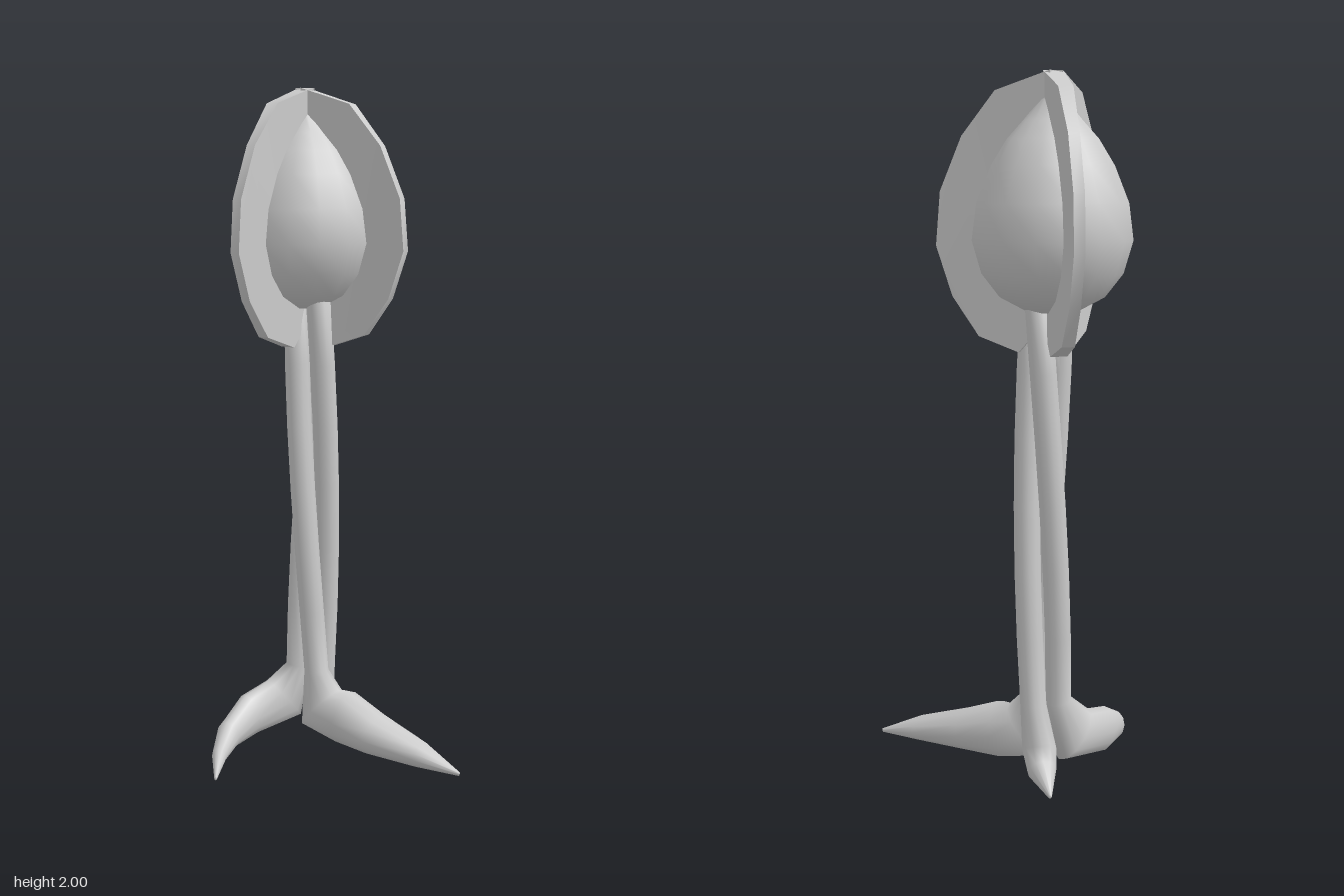
import * as THREE from 'three';
import { toCreasedNormals } from 'three/addons/utils/BufferGeometryUtils.js';

const V = (x, y, z) => new THREE.Vector3(x, y, z);
const material = new THREE.MeshStandardMaterial({ color: 0xcccccc, side: THREE.DoubleSide });

function addMesh(group, name, geometry) {
  const mesh = new THREE.Mesh(geometry, material);
  mesh.name = name;
  group.add(mesh);
  return mesh;
}

// Loft of ellipses along stations [x, y, z, halfWidth, halfHeight]
function loft(stations, heading, sides = 12) {
  const points = stations.map(s => V(s[0], s[1], s[2]));
  const positions = [], index = [];
  const n = points.length;
  points.forEach((p, i) => {
    const before = p.clone().sub(points[Math.max(i - 1, 0)]).normalize();
    const after = points[Math.min(i + 1, n - 1)].clone().sub(p).normalize();
    const tangent = before.add(after).normalize();
    const flat = Math.abs(tangent.y) > 0.8 ? heading : V(tangent.x, 0, tangent.z).normalize();
    const side = V(flat.z, 0, -flat.x);
    const up = tangent.clone().cross(side).normalize();
    for (let k = 0; k < sides; k++) {
      const a = (k / sides) * Math.PI * 2;
      const q = p.clone()
        .addScaledVector(side, Math.cos(a) * stations[i][3])
        .addScaledVector(up, Math.sin(a) * stations[i][4]);
      positions.push(q.x, Math.max(q.y, 0.004), q.z);
    }
  });
  for (let i = 0; i < n - 1; i++) {
    for (let k = 0; k < sides; k++) {
      const a = i * sides + k, b = i * sides + (k + 1) % sides;
      index.push(a, b, a + sides, b, b + sides, a + sides);
    }
  }
  // End caps
  const last = (n - 1) * sides;
  for (let k = 1; k < sides - 1; k++) {
    index.push(0, k + 1, k, last, last + k, last + k + 1);
  }
  const g = new THREE.BufferGeometry();
  g.setAttribute('position', new THREE.Float32BufferAttribute(positions, 3));
  g.setIndex(index);
  g.computeVertexNormals();
  return g;
}

// A stem winding down around the shared axis, flowing into its root
function limb(startAngle, endAngle, root) {
  const stations = [];
  const steps = 6;
  for (let i = 0; i <= steps; i++) {
    const t = i / steps;
    const a = THREE.MathUtils.degToRad(startAngle + (endAngle - startAngle) * t);
    stations.push([
      0.105 + 0.046 * Math.cos(a), 1.38 - 1.16 * t, -0.152 + 0.046 * Math.sin(a), 0.038, 0.038,
    ]);
  }
  const first = root[0], second = root[1];
  const heading = V(second[0] - first[0], 0, second[2] - first[2]).normalize();
  return loft([...stations, ...root], heading);
}

// Upright fin, thick at the axis and thin at the rim
function finGeometry(length) {
  const outline = [
    [0, 2.0], [0.16, 1.95], [0.26, 1.83], [0.325, 1.68], [0.338, 1.53],
    [0.29, 1.39], [0.21, 1.28], [0.09, 1.24], [0.045, 1.29], [0, 1.32],
  ];
  const shape = new THREE.Shape(
    outline.map(([r, y]) => new THREE.Vector2(r * length / 0.338, y)));
  const g = new THREE.ExtrudeGeometry(shape, { depth: 2, bevelEnabled: false });
  g.translate(0, 0, -1);
  const p = g.attributes.position;
  for (let i = 0; i < p.count; i++) {
    const t = Math.min(p.getX(i) / 0.26, 1);
    p.setZ(i, p.getZ(i) * (0.028 - 0.013 * t));
  }
  return toCreasedNormals(g, 0.6);
}

export function createModel() {
  const model = new THREE.Group();
  model.name = 'pod';
  const axis = V(0.108, 0, -0.18);

  // Egg-shaped bulb
  const profile = [
    [0, 1.35], [0.07, 1.355], [0.145, 1.395], [0.195, 1.46], [0.221, 1.55], [0.208, 1.65],
    [0.168, 1.75], [0.125, 1.82], [0.08, 1.87], [0.03, 1.93], [0, 1.985],
  ].map(([r, y]) => new THREE.Vector2(r, y));
  const bulb = addMesh(model, 'bulb', new THREE.LatheGeometry(profile, 15, Math.PI));
  bulb.position.copy(axis);

  // Three fins around the bulb, aimed at their rims
  const fins = new THREE.Group();
  fins.name = 'fins';
  model.add(fins);
  for (const [x, z] of [[-0.228, -0.142], [0.352, -0.398], [0.178, 0.15]]) {
    const dx = x - axis.x, dz = z - axis.z;
    const fin = addMesh(fins, 'fin', finGeometry(Math.hypot(dx, dz)));
    fin.position.copy(axis);
    fin.rotation.y = -Math.atan2(dz, dx);
  }

  // Three twisted stems, each ending in a pointed root
  addMesh(model, 'frontRootStem', limb(230, 122, [
    [0.08, 0.105, -0.09, 0.058, 0.095],
    [0.09, 0.092, 0.0, 0.07, 0.085],
    [0.092, 0.068, 0.12, 0.071, 0.062],
    [0.11, 0.042, 0.28, 0.048, 0.036],
    [0.13, 0.012, 0.41, 0.004, 0.006],
  ]));
  addMesh(model, 'sideRootStem', limb(-10, -120, [
    [0.05, 0.11, -0.225, 0.05, 0.085],
    [-0.08, 0.085, -0.25, 0.047, 0.068],
    [-0.19, 0.055, -0.232, 0.037, 0.045],
    [-0.285, 0.034, -0.175, 0.022, 0.026],
    [-0.37, 0.012, -0.102, 0.004, 0.006],
  ]));
  addMesh(model, 'backRootStem', limb(112, 5, [
    [0.145, 0.085, -0.165, 0.05, 0.07],
    [0.19, 0.042, -0.2, 0.042, 0.042],
    [0.265, 0.01, -0.27, 0.005, 0.006],
  ]));

  return model;
}
